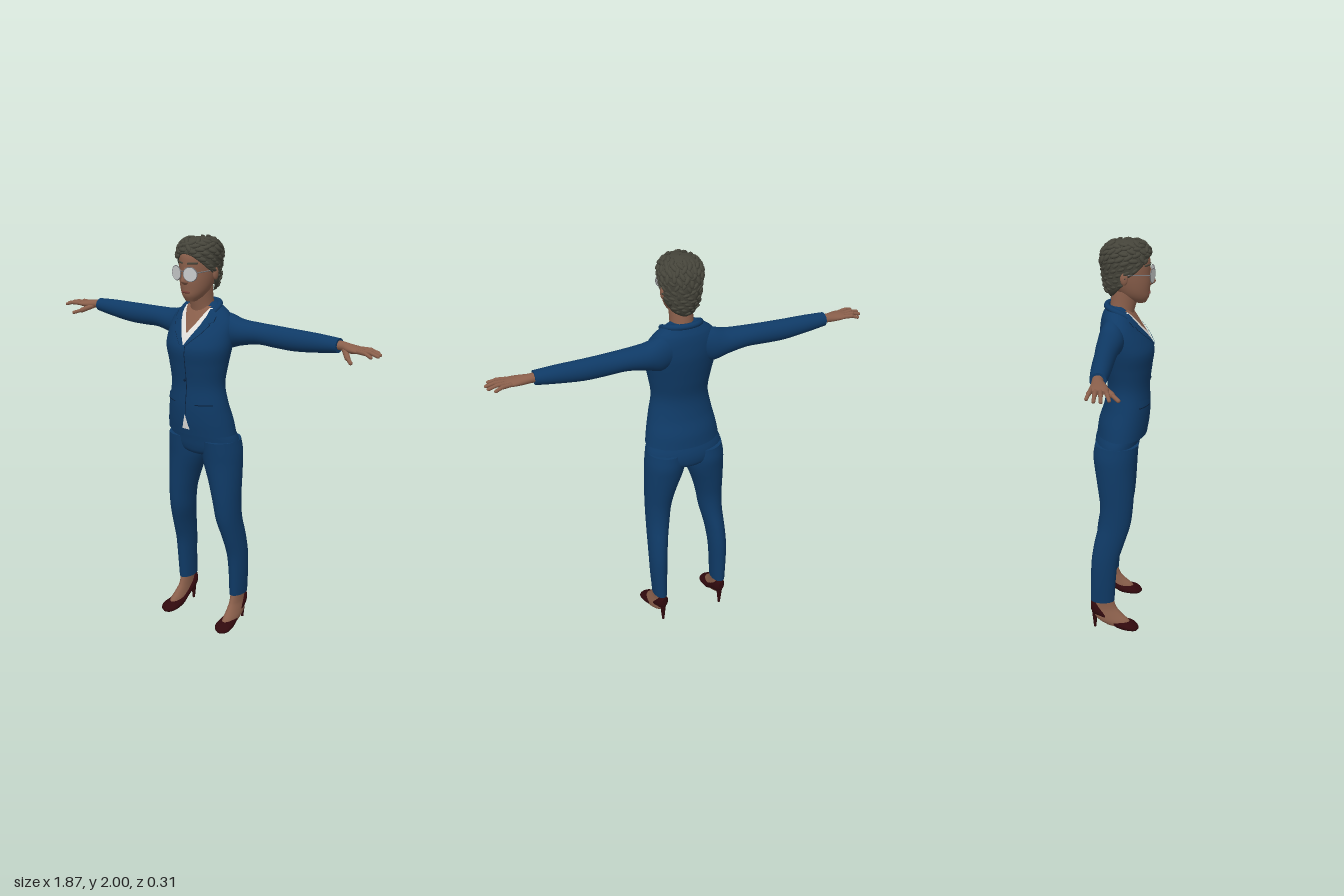
import * as THREE from 'three';
import { mergeGeometries } from 'three/addons/utils/BufferGeometryUtils.js';

const V = (x, y, z) => new THREE.Vector3(x, y, z);
const paint = (name, color) => Object.assign(new THREE.MeshStandardMaterial({ color }), { name });

// Grid surface from fn(row, column); wrap joins the last column to the first
function surface(rows, cols, fn, wrap) {
  const pos = [], index = [], n = wrap ? cols : cols + 1;
  for (let i = 0; i <= rows; i++) for (let j = 0; j < n; j++) pos.push(...fn(i, j));
  for (let i = 0; i < rows; i++) for (let j = 0; j < cols; j++) {
    const a = i * n + j, b = i * n + (j + 1) % n;
    index.push(a, a + n, b, b, a + n, b + n);
  }
  const g = new THREE.BufferGeometry();
  g.setAttribute('position', new THREE.Float32BufferAttribute(pos, 3));
  g.setIndex(index);
  g.computeVertexNormals();
  return g;
}

// Smoothly interpolated ring [t, centre, radius, low, high]
function ringAt(rings, t) {
  let i = 0;
  while (i < rings.length - 2 && t > rings[i + 1][0]) i++;
  const p = rings[i], q = rings[i + 1], h = q[0] - p[0];
  const s = Math.min(1, Math.max(0, (t - p[0]) / h));
  const slope = (k, c) => {
    const a = rings[Math.max(0, k - 1)], b = rings[Math.min(rings.length - 1, k + 1)];
    return (b[c] - a[c]) / (b[0] - a[0]);
  };
  return [0, 1, 2, 3, 4].map(c => c === 0 ? t :
    (2 * s ** 3 - 3 * s * s + 1) * p[c] + (3 * s * s - 2 * s ** 3) * q[c] +
    h * ((s ** 3 - 2 * s * s + s) * slope(i, c) + (s ** 3 - s * s) * slope(i + 1, c)));
}

// Capped loft through rings along the y, x or z axis
function loft(rings, axis = 'y', n = 32, steps = 4) {
  const list = [];
  rings.forEach((r, i) => {
    if (i === rings.length - 1) return list.push(r);
    for (let k = 0; k < steps; k++) list.push(ringAt(rings, r[0] + (rings[i + 1][0] - r[0]) * k / steps));
  });
  const m = list.length;
  return surface(m + 3, n, (i, j) => {
    const [t, c, r, lo, hi] = list[Math.min(m - 1, Math.max(0, i - 2))];
    const k = i === 0 || i === m + 3 ? 0 : 1, a = j / n * Math.PI * 2;
    const u = c + k * Math.max(r, 0.002) * Math.cos(a), w = k * (hi - lo) / 2 * Math.sin(a), mid = (lo + hi) / 2;
    return axis === 'y' ? [u, t, mid + w] : axis === 'x' ? [t, mid + w, u] : [u, mid - w, t];
  }, true);
}

// Thin plate lying on the front of a loft; rows [y, x0, x1] run downwards
function patch(rings, rows, offset) {
  const s = 5;
  return surface((rows.length - 1) * s, 10, (i, j) => {
    const k = Math.min(rows.length - 2, Math.floor(i / s)), f = i / s - k;
    const [y, x0, x1] = rows[k].map((v, c) => v + (rows[k + 1][c] - v) * f);
    const x = x0 + (x1 - x0) * j / 10, [, c, r, lo, hi] = ringAt(rings, y);
    return [x, y, (lo + hi) / 2 + (hi - lo) / 2 * Math.sqrt(Math.max(0, 1 - ((x - c) / r) ** 2)) + offset];
  });
}

// Rounded rod between two points
function rod(a, b, r) {
  const d = b.clone().sub(a), g = new THREE.CapsuleGeometry(r, d.length(), 4, 10);
  g.applyQuaternion(new THREE.Quaternion().setFromUnitVectors(V(0, 1, 0), d.normalize()));
  return g.translate((a.x + b.x) / 2, (a.y + b.y) / 2, (a.z + b.z) / 2);
}

const ball = (x, y, z, sx, sy, sz) => new THREE.SphereGeometry(1, 18, 12).scale(sx, sy, sz).translate(x, y, z);

function mirror(g) {
  const m = g.clone().scale(-1, 1, 1), ix = m.index.array;
  for (let i = 0; i < ix.length; i += 3) [ix[i], ix[i + 1]] = [ix[i + 1], ix[i]];
  return m;
}

const torso = [[1.055, 0, .188, -.12, .125], [1.12, 0, .177, -.11, .135], [1.2, 0, .16, -.085, .14], [1.3, 0, .143, -.07, .136],
  [1.4, 0, .157, -.085, .147], [1.48, 0, .174, -.098, .154], [1.54, 0, .176, -.104, .128], [1.6, 0, .168, -.1, .086],
  [1.64, 0, .14, -.092, .06], [1.665, 0, .108, -.08, .042], [1.69, 0, .066, -.065, .02]];
const skull = [[1.703, 0, .025, .06, .112], [1.73, 0, .05, 0, .127], [1.76, 0, .066, -.03, .13], [1.8, 0, .077, -.06, .133],
  [1.84, 0, .083, -.075, .131], [1.88, 0, .085, -.08, .132], [1.92, 0, .082, -.075, .126], [1.96, 0, .06, -.05, .095], [1.98, 0, .02, 0, .05]];
const scalp = [[1.72, 0, .056, -.05, .1], [1.76, 0, .075, -.075, .11], [1.8, 0, .086, -.088, .12], [1.85, 0, .092, -.094, .13],
  [1.9, 0, .097, -.097, .134], [1.94, 0, .096, -.09, .132], [1.97, 0, .077, -.066, .11], [1.985, 0, .05, -.035, .082], [1.993, 0, .004, .018, .026]];

// Hairline height at azimuth a: high on the brow, low on the nape
const hairline = a => { const f = Math.sin(a); return f > 0 ? 1.83 + .095 * f ** 1.5 : 1.83 - .1 * Math.sqrt(-f); };
function scalpPoint(a, y, k = 1) {
  const [, , r, lo, hi] = ringAt(scalp, y);
  return V(k * r * Math.cos(a), y, (lo + hi) / 2 + k * (hi - lo) / 2 * Math.sin(a));
}

function hairCap() {
  return surface(25, 56, (i, j) => {
    const a = -j / 56 * Math.PI * 2, low = hairline(a), v = Math.min(1, i / 24);
    const y = low + (1.993 - low) * Math.cos(v * Math.PI / 2);
    return scalpPoint(a, y, i === 25 ? .84 : 1 + .02 * Math.sin(8 * a + 40 * y)).toArray();
  }, true);
}

// Overlapping wavy locks swept backwards over the cap
function hairLocks() {
  const locks = [];
  for (let i = 0; i < 190; i++) {
    const a = i * 2.39996, y = 1.983 - .25 * (i / 190) ** 1.15;
    if (y < hairline(a) + .008) continue;
    const p = scalpPoint(a, y), n = p.clone().sub(V(0, 1.87, .02)).normalize();
    const flow = V(.8 * Math.sin(i * 1.7) + .3, -.5, -1);
    const along = flow.addScaledVector(n, -flow.dot(n)).normalize();
    const s = y > 1.9 ? 1 : .75;
    const g = new THREE.SphereGeometry(1, 10, 7).scale(.011 * s, .009 * s, .024 * s);
    g.applyMatrix4(new THREE.Matrix4().makeBasis(n.clone().cross(along), n, along).setPosition(p));
    locks.push(g);
  }
  return mergeGeometries(locks);
}

export function createModel() {
  const model = new THREE.Group();
  model.name = 'womanInSuit';
  const suit = paint('navy cloth', 0x0f3a66), seam = paint('dark navy', 0x081f3a), skin = paint('skin', 0x8a5f4b);
  const hair = paint('hair', 0x45443a), shirt = paint('white shirt', 0xe2e0dc), shoe = paint('dark red leather', 0x30090d);
  const lens = paint('pale lens', 0xc9cbcc), metal = paint('grey metal', 0x77777a), lip = paint('lips', 0x743f38);
  const add = (name, geo, mat, both) => {
    for (const g of both ? [geo, mirror(geo)] : [geo]) {
      const m = new THREE.Mesh(g, mat);
      m.name = both ? (g === geo ? 'left' : 'right') + name : name;
      model.add(m);
    }
  };

  // Jacket
  add('jacketBody', loft(torso, 'y', 56, 6), suit);
  add('Sleeve', loft([[.06, -.04, .045, 1.5, 1.645], [.13, -.04, .058, 1.475, 1.642], [.2, -.04, .06, 1.495, 1.622], [.3, -.045, .053, 1.515, 1.616],
    [.4, -.048, .047, 1.512, 1.614], [.5, -.05, .045, 1.512, 1.612], [.62, -.05, .041, 1.525, 1.61], [.722, -.05, .035, 1.54, 1.605]], 'x'), suit, true);
  add('shirtFront', patch(torso, [[1.668, -.085, .085], [1.64, -.088, .088], [1.6, -.062, .062], [1.503, 0, .008]], .003), shirt);
  add('bareChest', patch(torso, [[1.675, -.07, .07], [1.64, -.052, .052], [1.6, -.03, .03], [1.555, 0, .001]], .005), skin);
  add('Lapel', patch(torso, [[1.665, .074, .098], [1.635, .072, .112], [1.612, .062, .112], [1.604, .06, .094], [1.596, .057, .1], [1.56, .038, .075], [1.5, .004, .014]], .008), suit, true);
  add('LapelEdge', patch(torso, [[1.635, .11, .115], [1.612, .11, .115], [1.604, .092, .097], [1.596, .098, .103], [1.56, .073, .078], [1.5, .012, .017]], .007), seam, true);
  const collar = [[-.088, 1.65, .035], [-.086, 1.672, -.015], [-.056, 1.684, -.056], [0, 1.686, -.07], [.056, 1.684, -.056], [.086, 1.672, -.015], [.088, 1.65, .035]];
  add('collar', new THREE.TubeGeometry(new THREE.CatmullRomCurve3(collar.map(p => V(...p))), 40, .014, 10), suit);
  add('frontSeam', patch(torso, [[1.5, .009, .013], [1.3, .009, .013], [1.16, .002, .006]], .002), seam);
  add('hemShirt', patch(torso, [[1.16, 0, .002], [1.085, -.02, .024]], .003), shirt);
  add('PocketFlap', patch(torso, [[1.252, .1, .128], [1.238, .058, .135], [1.218, .058, .135]], .006), suit, true);
  add('PocketEdge', patch(torso, [[1.218, .058, .135], [1.213, .058, .135]], .005), seam, true);
  add('button', ball(0, 1.33, .138, .007, .007, .004), seam);

  // Trousers
  add('trouserSeat', loft([[.925, 0, .05, -.07, .03], [.945, 0, .13, -.115, .07], [.975, 0, .19, -.129, .084], [1.02, 0, .194, -.128, .092],
    [1.07, 0, .178, -.112, .1], [1.12, 0, .16, -.09, .1]], 'y', 40), suit);
  add('TrouserLeg', loft([[.165, .167, .036, -.15, -.028], [.3, .169, .042, -.147, -.02], [.4, .167, .046, -.143, -.008], [.5, .16, .05, -.128, .022],
    [.6, .148, .058, -.106, .052], [.7, .14, .066, -.1, .064], [.8, .127, .08, -.112, .07], [.9, .109, .097, -.127, .076],
    [.96, .104, .099, -.133, .082], [1.02, .1, .094, -.125, .088]]), suit, true);

  // Feet and high-heeled shoes
  add('Foot', loft([[.03, .176, .03, -.07, .06], [.055, .175, .032, -.11, .045], [.085, .172, .029, -.132, .014], [.125, .168, .025, -.134, -.018], [.2, .167, .027, -.128, -.04]]), skin, true);
  add('Shoe', loft([[-.15, .165, .012, .105, .155], [-.132, .165, .028, .08, .168], [-.1, .166, .034, .066, .13], [-.06, .168, .034, .042, .095],
    [-.02, .171, .038, .012, .068], [.02, .175, .044, .002, .054], [.06, .178, .045, 0, .044], [.085, .18, .031, 0, .03], [.098, .18, .008, .006, .018]], 'z', 24), shoe, true);
  add('ShoeHeel', new THREE.CylinderGeometry(.016, .006, .1, 12).translate(.165, .05, -.13), shoe, true);

  // Hands
  add('Palm', loft([[.69, -.05, .025, 1.553, 1.598], [.74, -.05, .024, 1.553, 1.594], [.78, -.042, .034, 1.55, 1.59], [.82, -.038, .041, 1.554, 1.585], [.85, -.037, .036, 1.56, 1.579]], 'x', 20), skin, true);
  const fingers = [[.835, -.009, .918, .01], [.842, -.029, .935, -.021], [.84, -.049, .93, -.05], [.828, -.068, .905, -.08]];
  for (const [x0, z0, x1, z1] of fingers) {
    const mid = V((x0 + x1) / 2, 1.571, (z0 + z1) / 2);
    add('Finger', mergeGeometries([rod(V(x0, 1.571, z0), mid, .01), rod(mid, V(x1 - .007, 1.561, z1), .008)]), skin, true);
  }
  add('Thumb', mergeGeometries([rod(V(.762, 1.562, -.03), V(.8, 1.542, .012), .013), rod(V(.8, 1.542, .012), V(.832, 1.53, .04), .009)]), skin, true);

  // Head
  add('neck', loft([[1.6, 0, .068, -.06, .05], [1.65, 0, .06, -.06, .056], [1.69, 0, .055, -.054, .066], [1.76, 0, .056, -.045, .085]]), skin);
  add('head', loft(skull, 'y', 40), skin);
  add('nose', loft([[1.783, 0, .01, .1, .135], [1.793, 0, .018, .1, .15], [1.803, 0, .015, .1, .157], [1.83, 0, .009, .1, .147], [1.865, 0, .008, .1, .133]], 'y', 16), skin);
  add('mouth', ball(0, 1.749, .127, .026, .006, .007), lip);
  add('Ear', ball(.088, 1.83, .015, .01, .03, .018), skin, true);
  add('Eyebrow', rod(V(.016, 1.882, .131), V(.056, 1.884, .111), .004), hair, true);
  add('hairCap', hairCap(), hair);
  add('hairLocks', hairLocks(), hair);

  // Glasses
  const place = g => g.scale(1, .95, 1).rotateY(.28).translate(.04, 1.836, .143);
  add('Lens', place(new THREE.CylinderGeometry(.034, .034, .004, 28).rotateX(Math.PI / 2)), lens, true);
  add('LensRim', place(new THREE.TorusGeometry(.034, .0025, 8, 32)), metal, true);
  add('GlassesArm', rod(V(.073, 1.845, .132), V(.093, 1.848, .01), .0025), metal, true);
  add('glassesBridge', rod(V(-.01, 1.848, .152), V(.01, 1.848, .152), .0025), metal);
  return model;
}
